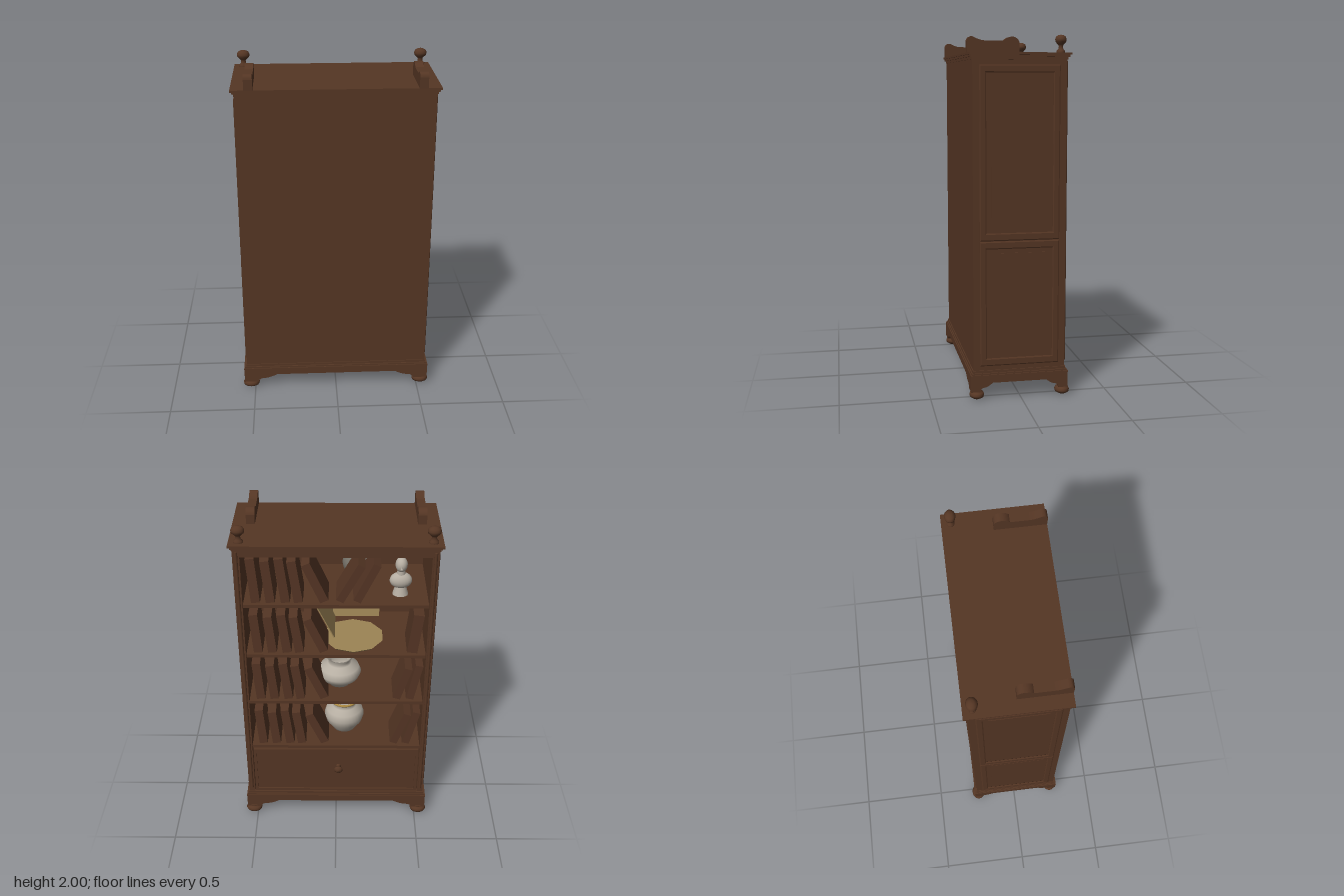
import * as THREE from 'three';

const mat = (name, color) => Object.assign(new THREE.MeshStandardMaterial({ color }), { name });

export function createModel() {
  const root = new THREE.Group();
  root.name = 'bookcase';
  const wood = mat('walnut wood', 0x553624);
  const leather = mat('brown leather', 0x543524);
  const china = mat('pale china', 0xb5ada1);
  const paper = mat('tan parchment', 0x9c8455);
  const grey = mat('grey stone', 0x77736a);
  const brass = mat('gilt rim', 0xb08d45);
  paper.side = china.side = THREE.DoubleSide;

  const add = (name, geo, m, x = 0, y = 0, z = 0, parent = root) => {
    const mesh = new THREE.Mesh(geo, m);
    mesh.name = name;
    mesh.position.set(x, y, z);
    parent.add(mesh);
    return mesh;
  };
  // box given by its limits
  const slab = (name, x0, x1, y0, y1, z0, z1, m = wood) =>
    add(name, new THREE.BoxGeometry(x1 - x0, y1 - y0, z1 - z0), m, (x0 + x1) / 2, (y0 + y1) / 2, (z0 + z1) / 2);
  const lathe = (name, pts, m, x, y, z, seg = 24) =>
    add(name, new THREE.LatheGeometry(pts.map(p => new THREE.Vector2(...p)), seg), m, x, y, z);

  // carcass
  slab('backPanel', -0.548, 0.548, 0.16, 1.88, 0.245, 0.265);
  slab('floorBoard', -0.548, 0.548, 0.125, 0.165, -0.25, 0.265);
  slab('ceilingBoard', -0.548, 0.548, 1.83, 1.88, -0.25, 0.25);
  for (const s of [-1, 1]) {
    slab('sidePanel', s > 0 ? 0.512 : -0.548, s > 0 ? 0.548 : -0.512, 0.16, 1.88, -0.25, 0.265);
    add('frontBead', new THREE.CylinderGeometry(0.009, 0.009, 1.66, 10), wood, s * 0.53, 1.03, -0.25);
    // moulded frames and fields on the sides
    for (const [y0, y1] of [[0.2, 0.885], [0.9, 1.835]]) {
      const frame = new THREE.Shape([[-0.215, y0], [0.215, y0], [0.215, y1], [-0.215, y1]].map(p => new THREE.Vector2(...p)));
      frame.holes.push(new THREE.Path([[-0.19, y0 + 0.03], [-0.19, y1 - 0.03], [0.19, y1 - 0.03], [0.19, y0 + 0.03]].map(p => new THREE.Vector2(...p))));
      const g = new THREE.ExtrudeGeometry(frame, { depth: 0.004, bevelEnabled: true, bevelSize: 0.006, bevelThickness: 0.003, bevelSegments: 1 });
      add('sideFrame', g, wood, s * 0.55, 0, 0.008).rotation.y = s * Math.PI / 2;
      slab('sideField', Math.min(s * 0.54, s * 0.551), Math.max(s * 0.54, s * 0.551), y0 + 0.06, y1 - 0.06, -0.15, 0.165);
    }
  }

  // cornice and plinth mouldings: y0, y1, half width, z limits
  for (const [y0, y1, hx, z0, z1] of [
    [1.868, 1.882, 0.553, -0.255, 0.269], [1.882, 1.894, 0.561, -0.263, 0.276], [1.894, 1.905, 0.571, -0.273, 0.283],
  ]) slab('cornice', -hx, hx, y0, y1, z0, z1);
  for (const [y0, y1, hx, z0, z1] of [[0.135, 0.145, 0.566, -0.267, 0.283], [0.145, 0.154, 0.56, -0.261, 0.277], [0.154, 0.168, 0.553, -0.255, 0.27]])
    slab('plinth', -hx, hx, y0, y1, z0, z1);

  // bracket skirts with shaped feet
  const skirt = (half, k) => {
    const s = new THREE.Shape();
    s.moveTo(-half, 0.14);
    s.lineTo(-half, 0.05);
    s.lineTo(-half + 0.085 * k, 0.05);
    s.quadraticCurveTo(-half + 0.09 * k, 0.075, -half + 0.13 * k, 0.075);
    s.quadraticCurveTo(-half + 0.165 * k, 0.08, -half + 0.2 * k, 0.1);
    s.lineTo(half - 0.2 * k, 0.1);
    s.quadraticCurveTo(half - 0.165 * k, 0.08, half - 0.13 * k, 0.075);
    s.quadraticCurveTo(half - 0.09 * k, 0.075, half - 0.085 * k, 0.05);
    s.lineTo(half, 0.05);
    s.lineTo(half, 0.14);
    return new THREE.ExtrudeGeometry(s, { depth: 0.025, bevelEnabled: false, curveSegments: 6 });
  };
  add('backSkirt', skirt(0.565, 1), wood, 0, 0, 0.257);
  add('frontSkirt', skirt(0.565, 1), wood, 0, 0, -0.266);
  for (const x of [-0.565, 0.54]) add('sideSkirt', skirt(0.273, 0.6), wood, x, 0, 0.008).rotation.y = Math.PI / 2;

  // bun feet, and turned finials on the front corners
  const bun = [[0, 0.004], [0.025, 0.005], [0.046, 0.016], [0.05, 0.028], [0.044, 0.04], [0.03, 0.046], [0.03, 0.052], [0.036, 0.06], [0, 0.062]];
  const finial = [[0.026, 0], [0.026, 0.012], [0.016, 0.02], [0.013, 0.036], [0.02, 0.045], [0.034, 0.058], [0.037, 0.072], [0.03, 0.087], [0.015, 0.095], [0, 0.096]];
  for (const x of [-1, 1]) {
    for (const z of [-0.242, 0.245]) lathe('bunFoot', bun, wood, x * 0.525, 0, z).scale.z = 0.83;
    lathe('finial', finial, wood, x * 0.516, 1.904, -0.222).scale.z = 0.83;
  }

  // scrolled rails on top
  const scroll = new THREE.Shape();
  scroll.moveTo(0, 0);
  scroll.lineTo(0.283, 0);
  scroll.lineTo(0.285, 0.06);
  scroll.quadraticCurveTo(0.28, 0.088, 0.255, 0.085);
  scroll.quadraticCurveTo(0.22, 0.066, 0.19, 0.064);
  scroll.lineTo(0.085, 0.064);
  scroll.quadraticCurveTo(0.065, 0.086, 0.035, 0.085);
  scroll.quadraticCurveTo(0.008, 0.08, 0, 0.055);
  const scrollGeo = new THREE.ExtrudeGeometry(scroll, { depth: 0.048, bevelEnabled: false, curveSegments: 8 });
  for (const x of [-0.496, 0.446]) add('topScroll', scrollGeo, wood, x + 0.048, 1.904, 0).rotation.y = -Math.PI / 2;
  root.children.filter(c => c.name === 'topScroll').forEach(c => { c.position.z = 0; });

  // shelves
  const shelfY = [1.53, 1.2, 0.87, 0.53];
  for (const y of shelfY) slab('shelf', -0.513, 0.513, y - 0.02, y, -0.235, 0.246);

  // drawer with moulded edge and knob
  slab('drawerFront', -0.508, 0.508, 0.17, 0.508, -0.24, -0.215);
  for (const y of [0.172, 0.492]) slab('drawerMoulding', -0.508, 0.508, y, y + 0.016, -0.249, -0.238);
  for (const x of [-0.508, 0.49]) slab('drawerMoulding', x, x + 0.018, 0.172, 0.508, -0.249, -0.238);
  const knob = lathe('drawerKnob', [[0.018, 0], [0.009, 0.008], [0.009, 0.022], [0.024, 0.032], [0.026, 0.04], [0.015, 0.05], [0, 0.052]], wood, -0.015, 0.37, -0.238);
  knob.rotation.x = -Math.PI / 2;

  // books: shelf, x, lean, height, thickness
  const book = (row, x, lean, h = 0.26, t = 0.05, d = 0.2) => {
    const y = shelfY[row] + (h * Math.cos(lean) + t * Math.abs(Math.sin(lean))) / 2;
    const b = add('book', new THREE.BoxGeometry(t, h, d), leather, x, y, -0.215 + d / 2);
    b.rotation.z = lean;
  };
  for (let row = 0; row < 4; row++) {
    const h = row === 0 ? 0.27 : 0.25;
    [0.455, 0.375, 0.295, 0.225].forEach((x, i) => book(row, x, -0.08 - 0.02 * i, h - 0.015 * (i % 2), 0.05));
    book(row, 0.115, -0.42, h - 0.02, 0.05);
  }
  book(0, -0.08, 0.5, 0.25, 0.045);
  book(0, -0.17, 0.45, 0.25, 0.045);
  book(1, -0.45, 0.12, 0.25, 0.06);
  book(2, -0.39, 0.3, 0.22, 0.045);
  book(2, -0.46, 0.2, 0.24, 0.045);
  book(3, -0.39, 0.35, 0.23, 0.045);
  book(3, -0.455, 0.25, 0.24, 0.045);

  // vases
  lathe('wideVase', [[0, 0], [0.065, 0], [0.07, 0.01], [0.115, 0.05], [0.13, 0.085], [0.115, 0.12], [0.07, 0.145], [0.06, 0.16], [0.075, 0.18], [0.065, 0.18], [0.05, 0.155]], china, -0.02, 0.87, -0.03, 32);
  lathe('tallVase', [[0, 0], [0.07, 0], [0.075, 0.012], [0.11, 0.06], [0.122, 0.105], [0.11, 0.145], [0.075, 0.17], [0.065, 0.185], [0.08, 0.205], [0.055, 0.18]], china, -0.05, 0.53, -0.03, 32);
  add('vaseRim', new THREE.TorusGeometry(0.077, 0.007, 8, 28), brass, -0.05, 0.735, -0.03).rotation.x = Math.PI / 2;

  // parchment dish set in the shelf, with leaning sheets behind
  add('parchmentDish', new THREE.CylinderGeometry(0.18, 0.15, 0.035, 10), paper, -0.1, 1.193, -0.04);
  const sheet = add('leaningSheet', new THREE.BoxGeometry(0.006, 0.24, 0.28), paper, 0.06, 1.31, 0.07);
  sheet.rotation.z = -0.45;
  add('backSheet', new THREE.BoxGeometry(0.28, 0.16, 0.006), paper, -0.12, 1.285, 0.2).rotation.x = 0.2;

  // stone globe and portrait bust
  add('stoneGlobe', new THREE.SphereGeometry(0.095, 20, 14), grey, -0.13, 1.625, 0.1);
  const bust = new THREE.Group();
  bust.name = 'bust';
  bust.position.set(-0.36, 1.53, -0.1);
  root.add(bust);
  add('bustBase', new THREE.CylinderGeometry(0.03, 0.045, 0.05, 20), china, 0, 0.025, 0, bust);
  add('bustShoulders', new THREE.SphereGeometry(0.06, 20, 14), china, 0, 0.085, 0, bust).scale.set(1.05, 0.8, 0.7);
  add('bustNeck', new THREE.CylinderGeometry(0.02, 0.026, 0.05, 16), china, 0, 0.135, 0, bust);
  add('bustHead', new THREE.SphereGeometry(0.04, 20, 14), china, 0, 0.185, -0.005, bust).scale.set(0.85, 1.1, 1);
  add('bustNose', new THREE.ConeGeometry(0.008, 0.02, 8), china, 0, 0.182, -0.046, bust);

  return root;
}
